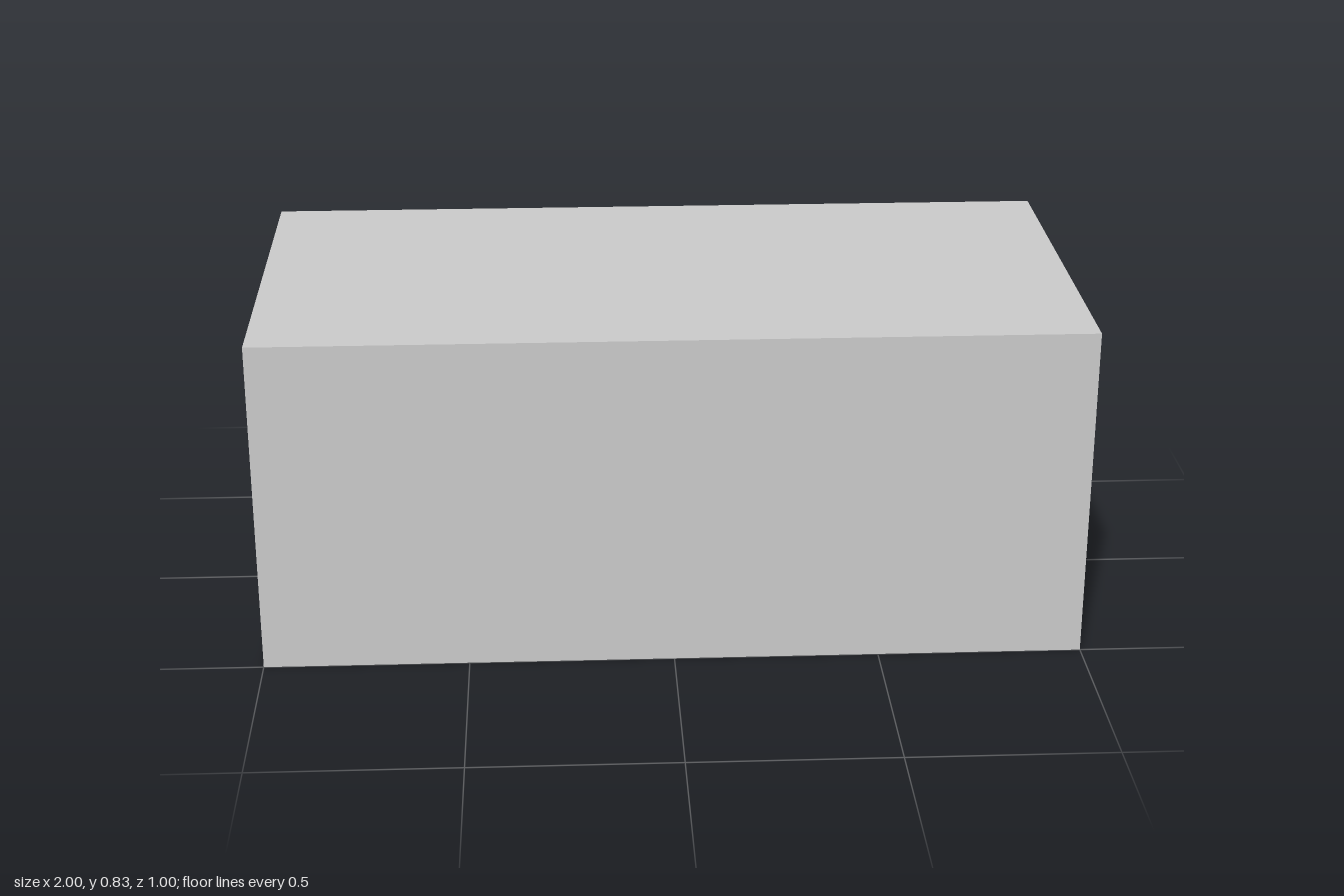
import * as THREE from 'three';

const WIDTH = 2, HEIGHT = 5 / 6, DEPTH = 1;
const LEDGE_Y = 0.5;       // underside of the rear overhang
const OVERHANG = 1 / 6;    // how far the top projects at the back

export function createModel() {
  const group = new THREE.Group();
  group.name = 'overhangingBlock';

  // Side profile: horizontal axis runs from front to back
  const front = -DEPTH / 2, back = DEPTH / 2;
  const profile = new THREE.Shape([
    [front, 0],
    [back - OVERHANG, 0],
    [back - OVERHANG, LEDGE_Y],
    [back, LEDGE_Y],
    [back, HEIGHT],
    [front, HEIGHT],
  ].map(([x, y]) => new THREE.Vector2(x, y)));

  // Sweep the profile across the width, then turn its back towards -z
  const geometry = new THREE.ExtrudeGeometry(profile, { depth: WIDTH, bevelEnabled: false });
  geometry.translate(0, 0, -WIDTH / 2);
  geometry.rotateY(Math.PI / 2);

  const block = new THREE.Mesh(
    geometry,
    new THREE.MeshStandardMaterial({ color: 0xcccccc, flatShading: true }),
  );
  block.name = 'block';
  group.add(block);
  return group;
}
